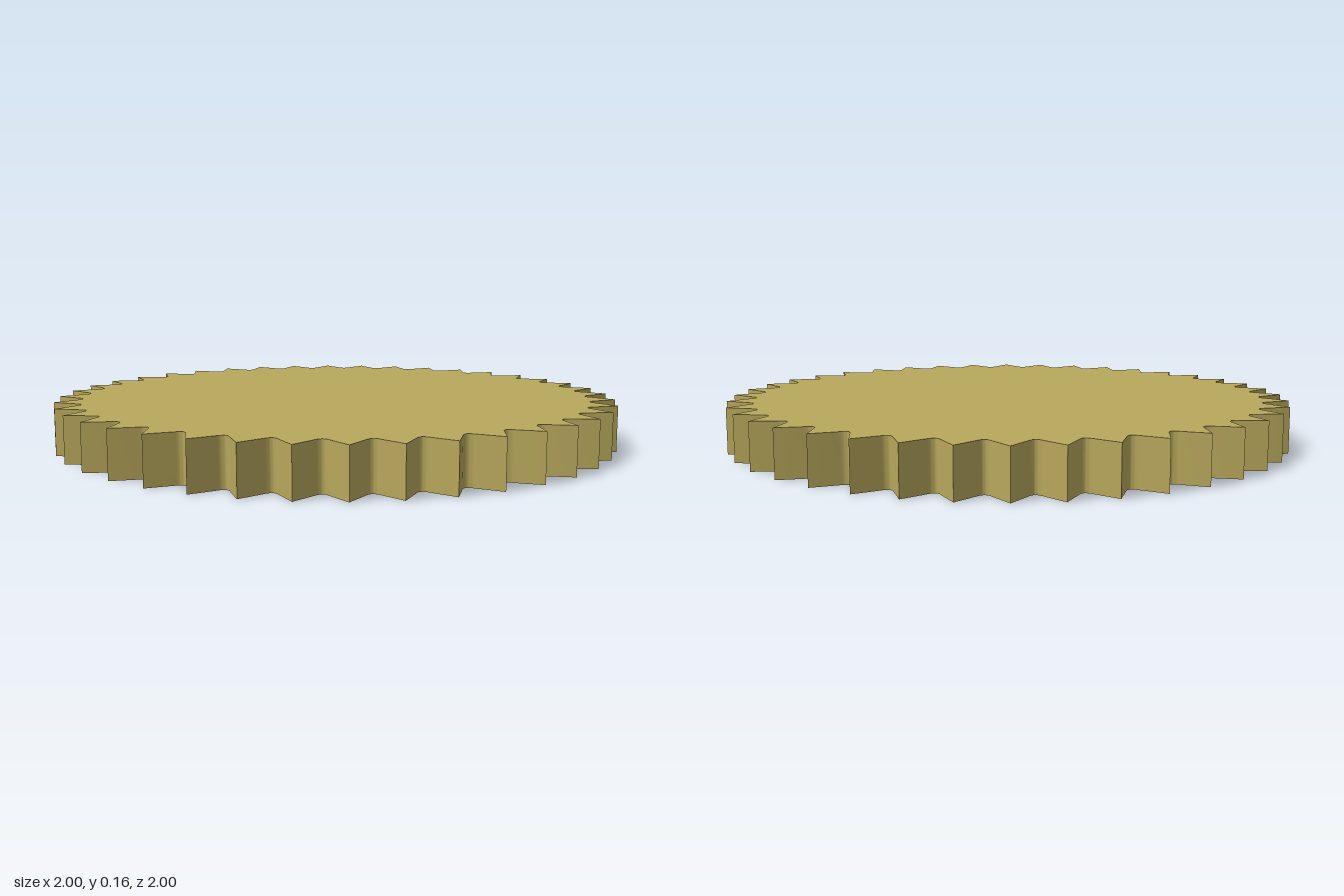
import * as THREE from 'three';
import { toCreasedNormals } from 'three/addons/utils/BufferGeometryUtils.js';

const TEETH = 40;
const HEIGHT = 0.16;
const TIP_RADIUS = 1;
const FLANK_RADIUS = 0.925; // where the straight flank meets the rounded valley
const CONTROL_RADIUS = 0.887; // pulls the valley floor down to about 0.906

const polar = (r, a) => new THREE.Vector2(r * Math.cos(a), r * Math.sin(a));

// Ring of pointed teeth with straight flanks and rounded valleys
function gearOutline() {
  const step = (Math.PI * 2) / TEETH;
  const shape = new THREE.Shape();
  shape.moveTo(TIP_RADIUS, 0);
  for (let i = 0; i < TEETH; i++) {
    const a = i * step;
    const flankStart = polar(FLANK_RADIUS, a + step * 0.34);
    const control = polar(CONTROL_RADIUS, a + step * 0.5);
    const flankEnd = polar(FLANK_RADIUS, a + step * 0.66);
    const tip = polar(TIP_RADIUS, a + step);
    shape.lineTo(flankStart.x, flankStart.y);
    shape.quadraticCurveTo(control.x, control.y, flankEnd.x, flankEnd.y);
    if (i < TEETH - 1) shape.lineTo(tip.x, tip.y);
  }
  shape.closePath();
  return shape;
}

export function createModel() {
  const group = new THREE.Group();
  group.name = 'toothedDisc';

  const brass = new THREE.MeshStandardMaterial({ color: 0xb8a75c });
  brass.name = 'brass';

  // Solid disc lying flat on the ground
  const extruded = new THREE.ExtrudeGeometry(gearOutline(), {
    depth: HEIGHT,
    bevelEnabled: false,
    curveSegments: 10,
  });
  extruded.rotateX(-Math.PI / 2);
  const disc = new THREE.Mesh(toCreasedNormals(extruded, 0.6), brass);
  disc.name = 'disc';
  group.add(disc);

  return group;
}
